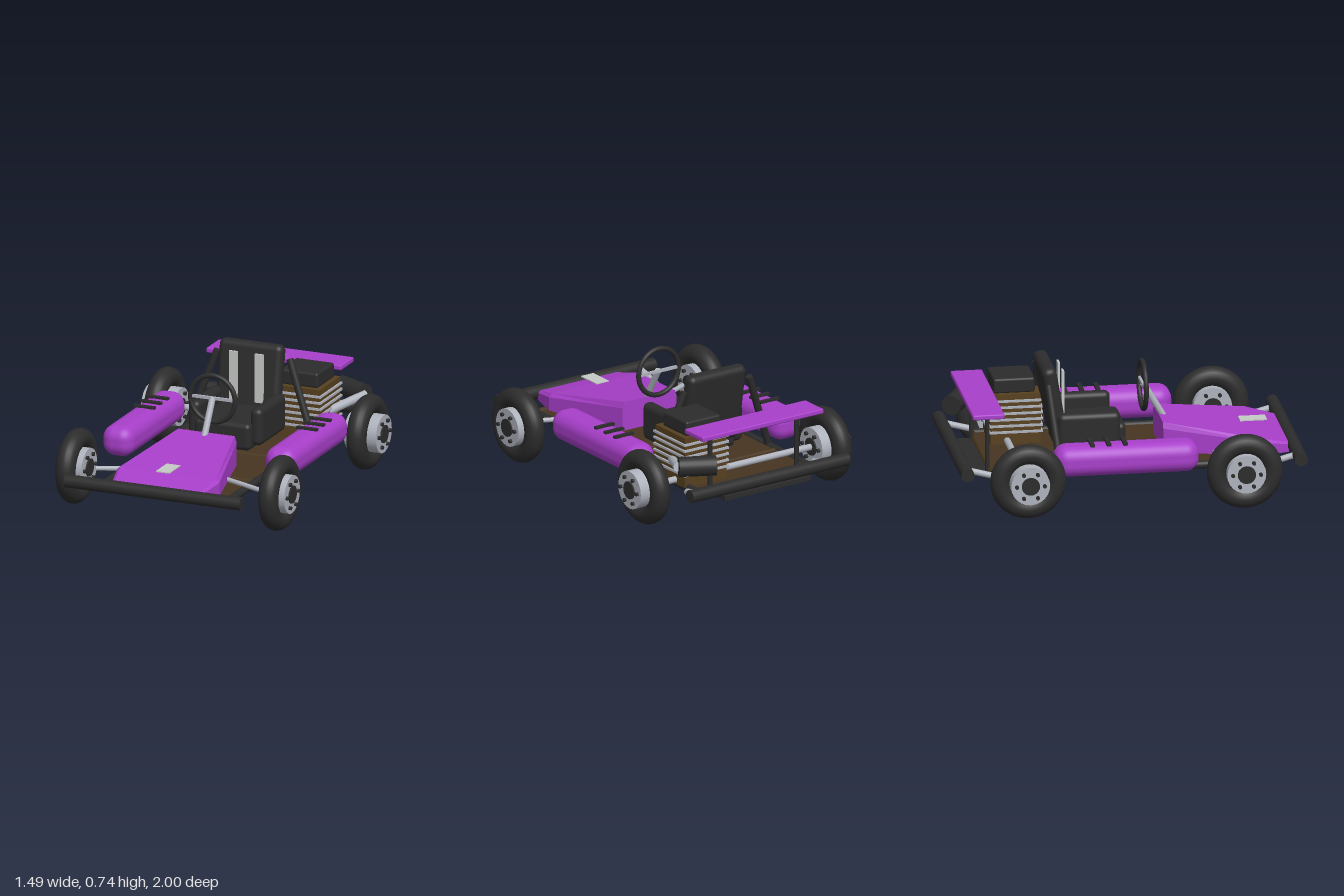
import * as THREE from 'three';
import { RoundedBoxGeometry } from 'three/addons/geometries/RoundedBoxGeometry.js';

const mat = (name, color, extra = {}) => {
  const m = new THREE.MeshStandardMaterial({ color, ...extra });
  m.name = name;
  return m;
};

export function createModel() {
  const root = new THREE.Group();
  root.name = 'goKart';
  const purple = mat('purple paint', 0xa83fca);
  const black = mat('black rubber', 0x2c2c2c);
  const silver = mat('silver metal', 0xaeb2bc);
  const pale = mat('pale webbing', 0xc6cac6);
  const brown = mat('brown floor', 0x463520);
  const engineBrown = mat('engine brown', 0x57401f);

  const add = (name, geo, material, x = 0, y = 0, z = 0, parent = root) => {
    const m = new THREE.Mesh(geo, material);
    m.name = name;
    m.position.set(x, y, z);
    parent.add(m);
    return m;
  };
  const box = (name, material, w, h, d, x, y, z) =>
    add(name, new THREE.BoxGeometry(w, h, d), material, x, y, z);
  const rbox = (name, material, w, h, d, r, x, y, z) =>
    add(name, new RoundedBoxGeometry(w, h, d, 5, r), material, x, y, z);
  // Round bar between two points
  const rod = (name, material, r, a, b, parent = root) => {
    const p = new THREE.Vector3(...a), q = new THREE.Vector3(...b);
    const dir = q.clone().sub(p);
    const m = add(name, new THREE.CylinderGeometry(r, r, dir.length(), 24), material, 0, 0, 0, parent);
    m.position.copy(p).add(q).multiplyScalar(0.5);
    m.quaternion.setFromUnitVectors(new THREE.Vector3(0, 1, 0), dir.normalize());
    return m;
  };

  // Chassis
  box('floorPan', brown, 0.77, 0.025, 1.6, 0, 0.19, 0);
  for (const z of [0.81, 0.4, -0.05, -0.49, -0.79])
    rod('crossMember', brown, 0.021, [-0.385, 0.19, z], [0.385, 0.19, z]);
  box('rearDiffuser', black, 0.6, 0.025, 0.24, 0, 0.182, -0.84);
  for (const s of [-1, 1])
    rod('sideRail', black, 0.023, [s * 0.387, 0.195, -0.8], [s * 0.387, 0.195, 0.8]);

  // Bumpers and their brackets
  for (const e of [-1, 1]) {
    rod('bumper', black, 0.038, [-0.545, 0.246, e * 0.96], [0.545, 0.246, e * 0.96]);
    for (const s of [-1, 1])
      rod('bumperBracket', silver, 0.018, [s * 0.44, 0.2, e * 0.78], [s * 0.44, 0.246, e * 0.95]);
  }

  // Wheels
  const wheel = (x, z, rimWidth) => {
    const g = new THREE.Group();
    g.name = z > 0 ? 'frontWheel' : 'rearWheel';
    g.position.set(x, 0.225, z);
    root.add(g);
    add('tyre', new THREE.TorusGeometry(0.16, 0.058, 20, 56), black, 0, 0, 0, g).rotation.y = Math.PI / 2;
    const h = rimWidth / 2;
    rod('rim', silver, 0.112, [-h, 0, 0], [h, 0, 0], g);
    rod('hub', black, 0.052, [-h - 0.008, 0, 0], [h + 0.008, 0, 0], g);
    for (let i = 0; i < 6; i++) {
      const a = (i / 6) * Math.PI * 2;
      const y = Math.sin(a) * 0.08, c = Math.cos(a) * 0.08;
      rod('bolt', black, 0.011, [-h - 0.015, y, c], [h + 0.015, y, c], g);
    }
  };
  for (const s of [-1, 1]) {
    wheel(s * 0.63, 0.62, 0.155);
    wheel(s * 0.63, -0.627, 0.2);
    rod('steeringArm', silver, 0.014, [s * 0.2, 0.225, 0.485], [s * 0.51, 0.225, 0.62]);
  }
  rod('rearAxle', silver, 0.019, [-0.58, 0.225, -0.63], [0.58, 0.225, -0.63]);

  // Side pods with vents
  for (const s of [-1, 1]) {
    rbox('sidePod', purple, 0.19, 0.18, 0.83, 0.075, s * 0.505, 0.3, -0.045);
    for (const z of [-0.245, -0.15, -0.055])
      box('podVent', black, 0.13, 0.014, 0.025, s * 0.505, 0.396, z);
  }

  // Nose: [z, half width below, half width above, bottom y, top y]
  const sections = [
    [0.22, 0.187, 0.175, 0.215, 0.388],
    [0.76, 0.318, 0.298, 0.205, 0.305],
    [0.93, 0.278, 0.262, 0.21, 0.265],
  ];
  const rings = sections.map(([z, wb, wt, y0, y1]) =>
    [[-wb, y0, z], [wb, y0, z], [wb, y0 + (y1 - y0) * 0.8, z], [wt, y1, z], [-wt, y1, z], [-wb, y0 + (y1 - y0) * 0.8, z]]);
  const pos = [];
  const n = 6;
  for (let i = 0; i < rings.length - 1; i++)
    for (let j = 0; j < n; j++) {
      const k = (j + 1) % n, A = rings[i], B = rings[i + 1];
      pos.push(...A[j], ...A[k], ...B[k], ...A[j], ...B[k], ...B[j]);
    }
  for (let j = 1; j < n - 1; j++) {
    const A = rings[0], B = rings[rings.length - 1];
    pos.push(...A[0], ...A[j + 1], ...A[j], ...B[0], ...B[j], ...B[j + 1]);
  }
  const noseGeo = new THREE.BufferGeometry();
  noseGeo.setAttribute('position', new THREE.Float32BufferAttribute(pos, 3));
  noseGeo.computeVertexNormals();
  // Corner order is reversed to face outward where needed
  add('nose', noseGeo, purple);
  box('nosePlate', pale, 0.085, 0.006, 0.155, 0, 0.33, 0.762);

  // Steering
  add('steeringWheel', new THREE.TorusGeometry(0.138, 0.0145, 14, 48), black, 0, 0.563, 0.13);
  box('steeringSpoke', silver, 0.25, 0.017, 0.014, 0, 0.566, 0.13);
  rod('steeringColumn', silver, 0.019, [0, 0.57, 0.133], [0, 0.35, 0.262]);

  // Seat
  rbox('seatCushion', black, 0.35, 0.16, 0.4, 0.03, 0, 0.31, -0.19);
  for (const s of [-1, 1]) {
    rbox('seatBolster', black, 0.075, 0.22, 0.36, 0.033, s * 0.193, 0.365, -0.21);
    box('harnessBelt', pale, 0.052, 0.29, 0.012, s * 0.08, 0.555, -0.343);
    rod('seatStrut', black, 0.021, [s * 0.39, 0.2, -0.4], [s * 0.225, 0.66, -0.447]);
  }
  rbox('seatBack', black, 0.395, 0.46, 0.085, 0.036, 0, 0.515, -0.4).rotation.x = -0.17;

  // Engine with cooling fins
  box('engineBlock', engineBrown, 0.29, 0.3, 0.29, 0.27, 0.35, -0.58);
  for (let i = 0; i < 6; i++)
    box('coolingFin', silver, 0.31, 0.013, 0.31, 0.27, 0.275 + i * 0.037, -0.58);
  rbox('engineCover', black, 0.24, 0.09, 0.24, 0.015, 0.27, 0.541, -0.585);

  // Exhaust
  rod('exhaustPipe', silver, 0.025, [0.4, 0.33, -0.58], [0.53, 0.38, -0.82]);
  rod('muffler', black, 0.058, [0.335, 0.38, -0.92], [0.525, 0.38, -0.82]);

  // Rear wing
  rbox('rearWing', purple, 0.84, 0.03, 0.182, 0.008, 0, 0.547, -0.82);
  for (const s of [-1, 1])
    rod('wingPost', black, 0.013, [s * 0.3, 0.19, -0.81], [s * 0.3, 0.54, -0.81]);

  return root;
}
